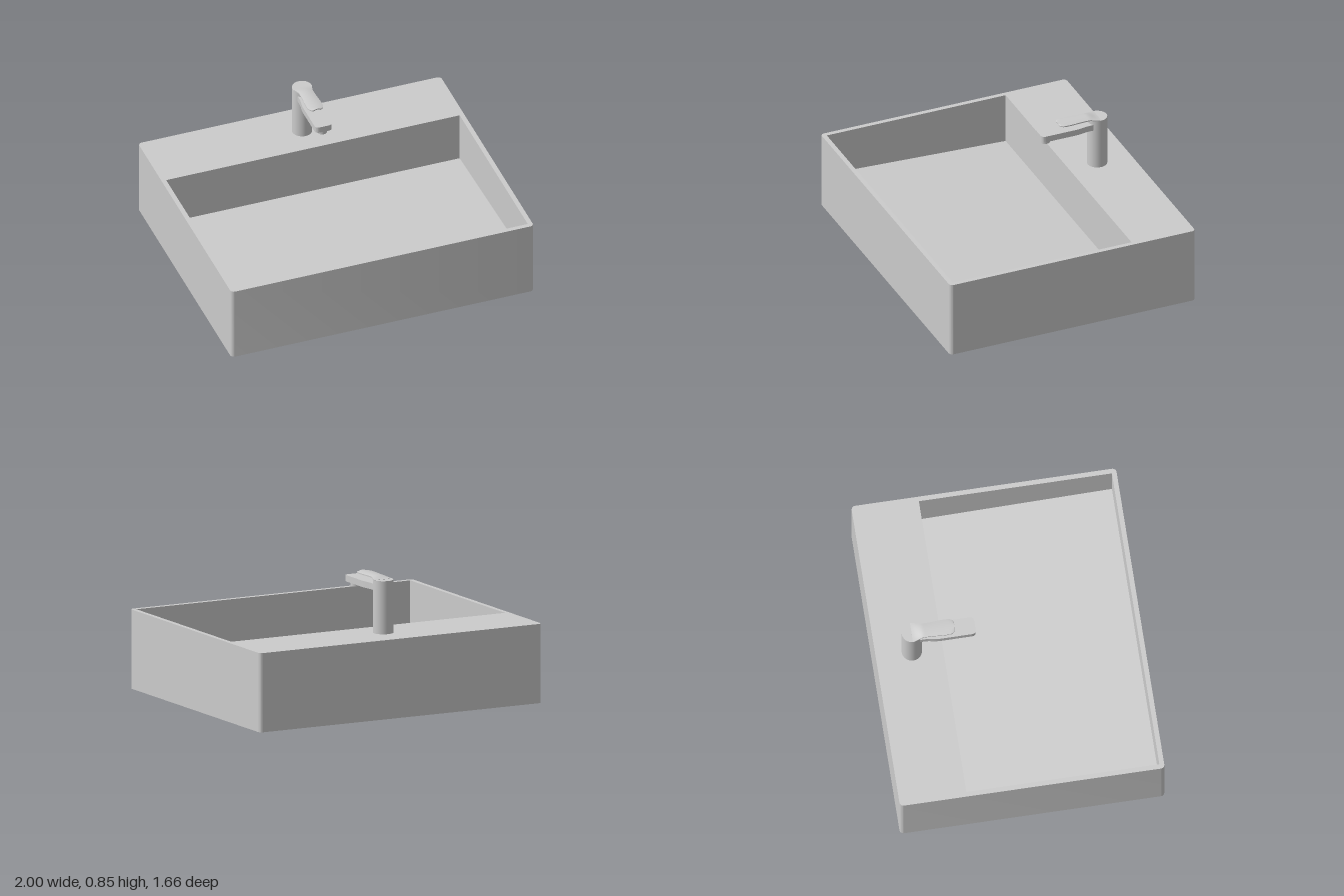
import * as THREE from 'three';
import { toCreasedNormals } from 'three/addons/utils/BufferGeometryUtils.js';

const material = new THREE.MeshStandardMaterial({ color: 0xcccccc });

function addPart(group, name, geometry, x = 0, y = 0, z = 0) {
  const mesh = new THREE.Mesh(geometry, material);
  mesh.name = name;
  mesh.position.set(x, y, z);
  group.add(mesh);
}

// Extrudes a plan outline upwards; outline y becomes -z
function extrudeUp(shape, height) {
  const g = new THREE.ExtrudeGeometry(shape, { depth: height, bevelEnabled: false, curveSegments: 8 });
  g.rotateX(-Math.PI / 2);
  return toCreasedNormals(g, 0.6);
}

function roundedRect(hx, hy, r) {
  const s = new THREE.Shape();
  s.absarc(hx - r, hy - r, r, 0, Math.PI / 2);
  s.absarc(-hx + r, hy - r, r, Math.PI / 2, Math.PI);
  s.absarc(-hx + r, -hy + r, r, Math.PI, Math.PI * 1.5);
  s.absarc(hx - r, -hy + r, r, Math.PI * 1.5, Math.PI * 2);
  s.closePath();
  return s;
}

function createBasin() {
  const basin = new THREE.Group();
  basin.name = 'basin';
  const halfX = 0.97, zBack = -0.41, zFront = 0.8;

  // Outer walls and rear deck around the rectangular bowl opening
  const outline = roundedRect(1, 0.83, 0.025);
  outline.holes.push(new THREE.Path([
    new THREE.Vector2(-halfX, -zFront), new THREE.Vector2(-halfX, -zBack),
    new THREE.Vector2(halfX, -zBack), new THREE.Vector2(halfX, -zFront),
  ]));
  addPart(basin, 'wallsAndDeck', extrudeUp(outline, 0.5));

  // Bowl floor falls gently towards the back
  const section = new THREE.Shape([
    new THREE.Vector2(-zFront, 0), new THREE.Vector2(-zBack, 0),
    new THREE.Vector2(-zBack, 0.17), new THREE.Vector2(-zFront, 0.22),
  ]);
  const floor = new THREE.ExtrudeGeometry(section, { depth: halfX * 2, bevelEnabled: false });
  floor.translate(0, 0, -halfX).rotateY(Math.PI / 2);
  addPart(basin, 'bowlFloor', floor);
  return basin;
}

// Thin arched lever: a box bent by rules along its length
function leverGeometry() {
  const z0 = -0.605, z1 = -0.335, tip = 0.04;
  const g = new THREE.BoxGeometry(2, 1, 1, 12, 1, 40);
  const p = g.attributes.position;
  const smooth = THREE.MathUtils.smoothstep;
  for (let i = 0; i < p.count; i++) {
    const u = p.getX(i);
    const t = p.getZ(i) + 0.5;
    const z = THREE.MathUtils.lerp(z0, z1, 1 - (1 - t) ** 1.6);
    let w = 0.062 - 0.016 * smooth(z, -0.605, -0.53) + 0.005 * smooth(z, -0.5, -0.4);
    const e = Math.max(0, (z - (z1 - tip)) / tip);
    w *= 0.4 + 0.6 * Math.sqrt(Math.max(0, 1 - e * e));
    const top = 0.836 + 0.015 * smooth(z, -0.61, -0.53) - 0.006 * u * u * smooth(z, -0.605, -0.55);
    p.setXYZ(i, u * w, p.getY(i) > 0 ? top : top - 0.007, z);
  }
  g.computeVertexNormals();
  return g;
}

function createFaucet() {
  const faucet = new THREE.Group();
  faucet.name = 'faucet';

  addPart(faucet, 'column', new THREE.CylinderGeometry(0.063, 0.063, 0.335, 48), 0, 0.6675, -0.603);

  // Flat spout, slightly waisted near the column, with rounded front corners
  const s = new THREE.Shape();
  s.moveTo(-0.045, 0.58);
  s.lineTo(-0.045, 0.53);
  s.bezierCurveTo(-0.045, 0.49, -0.056, 0.48, -0.056, 0.43);
  s.lineTo(-0.056, 0.235);
  s.quadraticCurveTo(-0.056, 0.207, -0.028, 0.207);
  s.lineTo(0.028, 0.207);
  s.quadraticCurveTo(0.056, 0.207, 0.056, 0.235);
  s.lineTo(0.056, 0.43);
  s.bezierCurveTo(0.056, 0.48, 0.045, 0.49, 0.045, 0.53);
  s.lineTo(0.045, 0.58);
  s.closePath();
  addPart(faucet, 'spout', extrudeUp(s, 0.04), 0, 0.764, 0);

  addPart(faucet, 'aerator', new THREE.CylinderGeometry(0.031, 0.031, 0.034, 32), 0, 0.752, -0.25);
  addPart(faucet, 'lever', leverGeometry());
  return faucet;
}

export function createModel() {
  const model = new THREE.Group();
  model.name = 'washbasin';
  model.add(createBasin(), createFaucet());
  return model;
}
